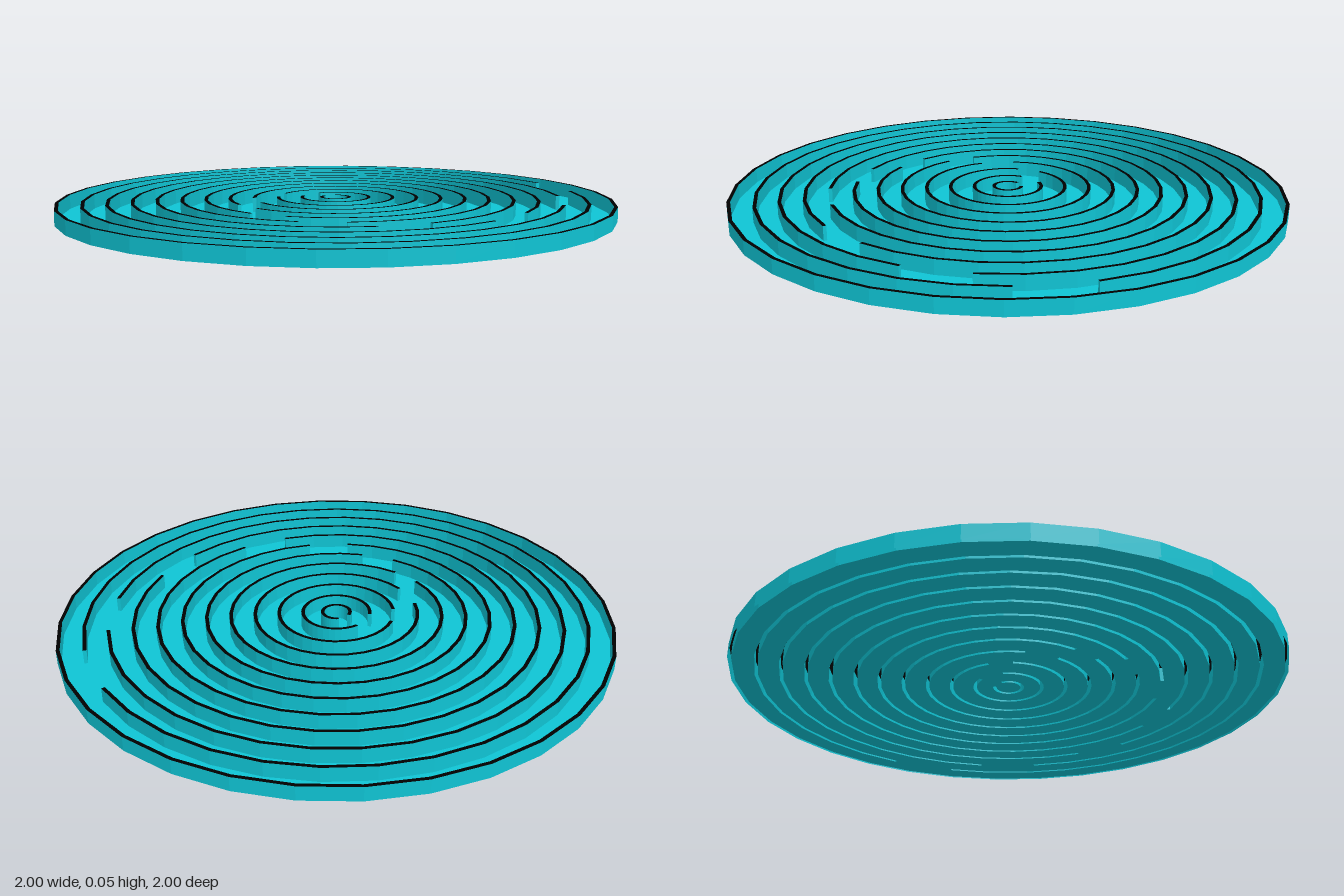
import * as THREE from 'three';

const HEIGHT = 0.052, THICK = 0.013, SEGMENTS = 32;

// Inner walls from outside in: [centre radius, gap start, gap end] in degrees from +x towards +z
const WALLS = [
  [0.905, -40, -24], [0.819, -16, 0], [0.732, 16, 32], [0.645, 48, 64],
  [0.557, 72, 88], [0.471, 96, 112], [0.384, 120, 136], [0.296, 137, 161],
  [0.209, 168, 192], [0.122, 182, 226], [0.05, 202, 254],
];

const teal = new THREE.MeshStandardMaterial({ color: 0x0fc4d4, side: THREE.DoubleSide });
const black = new THREE.MeshStandardMaterial({ color: 0x000000, side: THREE.DoubleSide });

// Points along an arc in plan; plan y is -z
function arc(radius, from, to) {
  const points = [];
  for (let i = 0; i <= SEGMENTS; i++) {
    const a = THREE.MathUtils.degToRad(from + (to - from) * i / SEGMENTS);
    points.push(new THREE.Vector2(radius * Math.cos(a), -radius * Math.sin(a)));
  }
  return points;
}

// Flat face from an outline with holes, laid at height y and facing up
function flatFace(outline, holes, y) {
  const shape = new THREE.Shape(outline);
  shape.holes = holes.map((h) => new THREE.Path(h));
  return new THREE.ShapeGeometry(shape).rotateX(-Math.PI / 2).translate(0, y, 0);
}

// Upright faces along a closed outline, without caps
function upright(outline) {
  const position = [];
  outline.forEach((p, i) => {
    const q = outline[(i + 1) % outline.length];
    if (p.distanceTo(q) < 1e-6) return;
    const corner = (v, y) => [v.x, y, -v.y];
    const a = corner(p, 0), b = corner(q, 0), c = corner(q, HEIGHT), d = corner(p, HEIGHT);
    position.push(...a, ...b, ...c, ...a, ...c, ...d);
  });
  const geometry = new THREE.BufferGeometry();
  geometry.setAttribute('position', new THREE.Float32BufferAttribute(position, 3));
  geometry.computeVertexNormals();
  return geometry;
}

function addMesh(parent, name, geometry, material) {
  const mesh = new THREE.Mesh(geometry, material);
  mesh.name = name;
  parent.add(mesh);
}

export function createModel() {
  const model = new THREE.Group();
  model.name = 'circularMaze';

  // Closed outer rim
  const rimOuter = arc(1, 360, 0).slice(0, -1);
  const rimInner = arc(1 - THICK, 0, 360).slice(0, -1);
  const rim = new THREE.Group();
  rim.name = 'outerRim';
  addMesh(rim, 'rimOutside', upright(rimOuter), teal);
  addMesh(rim, 'rimInside', upright(rimInner), teal);
  addMesh(rim, 'rimTop', flatFace(rimOuter, [rimInner], HEIGHT), black);
  model.add(rim);

  // Concentric walls, each with one gap, hollow below
  const outlines = WALLS.map(([r, start, end]) => [
    ...arc(r + THICK / 2, start + 360, end),
    ...arc(r - THICK / 2, end, start + 360),
  ]);
  outlines.forEach((outline, i) => {
    const wall = new THREE.Group();
    wall.name = `mazeWall${i + 1}`;
    addMesh(wall, 'wallSides', upright(outline), teal);
    addMesh(wall, 'wallTop', flatFace(outline, [], HEIGHT), black);
    model.add(wall);
  });

  // Thin floor, open under the walls
  addMesh(model, 'floor', flatFace(rimInner.slice().reverse(), outlines, 0), teal);

  return model;
}
